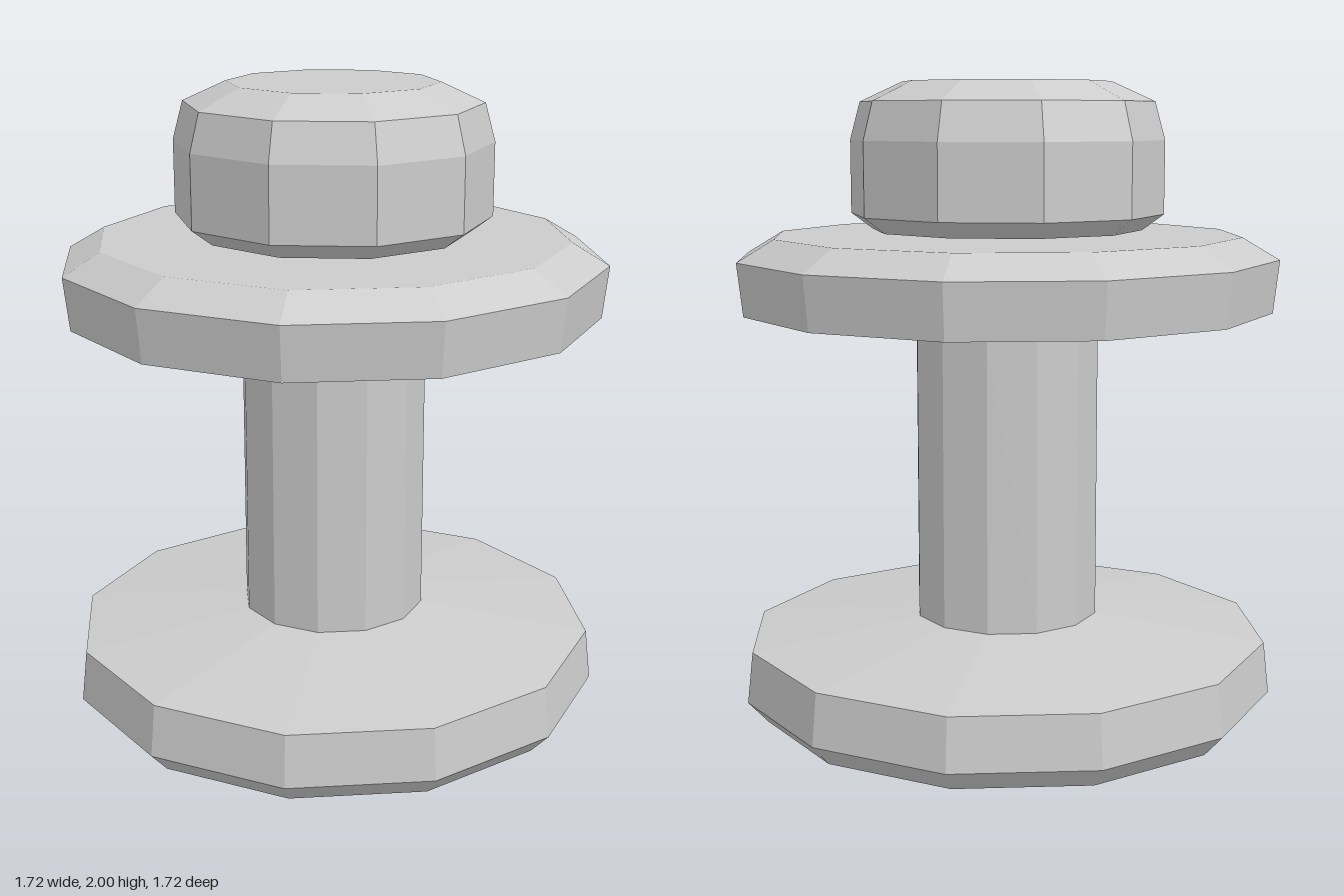
import * as THREE from 'three';

const material = new THREE.MeshStandardMaterial({ color: 0xcccccc, flatShading: true });

// Faceted turned part from a [radius, height] profile, listed bottom to top
function turned(name, profile, sides) {
  const points = profile.map(([r, y]) => new THREE.Vector2(r, y));
  const mesh = new THREE.Mesh(new THREE.LatheGeometry(points, sides), material);
  mesh.name = name;
  return mesh;
}

export function createModel() {
  const group = new THREE.Group();
  group.name = 'spoolWithKnob';
  const shaftRadius = 0.295;

  group.add(
    // Lower flange: bevelled foot, slightly tapered rim, shallow cone up to the shaft
    turned('baseFlange', [[0, 0], [0.795, 0], [0.858, 0.07], [0.84, 0.233], [shaftRadius, 0.3]], 12),

    // Straight shaft joining the two flanges
    turned('shaft', [[shaftRadius, 0.3], [shaftRadius, 1.225]], 12),

    // Upper flange: shallow cone underneath, rim, wide bevel and flat top
    turned('topFlange', [[shaftRadius, 1.225], [0.84, 1.292], [0.858, 1.457], [0.742, 1.525], [0, 1.525]], 12),

    // Ten-sided knob hovering just above the upper flange
    turned('knob', [[0, 1.54], [0.428, 1.54], [0.496, 1.59], [0.496, 1.82], [0.464, 1.938], [0.328, 2], [0, 2]], 10),
  );
  return group;
}
